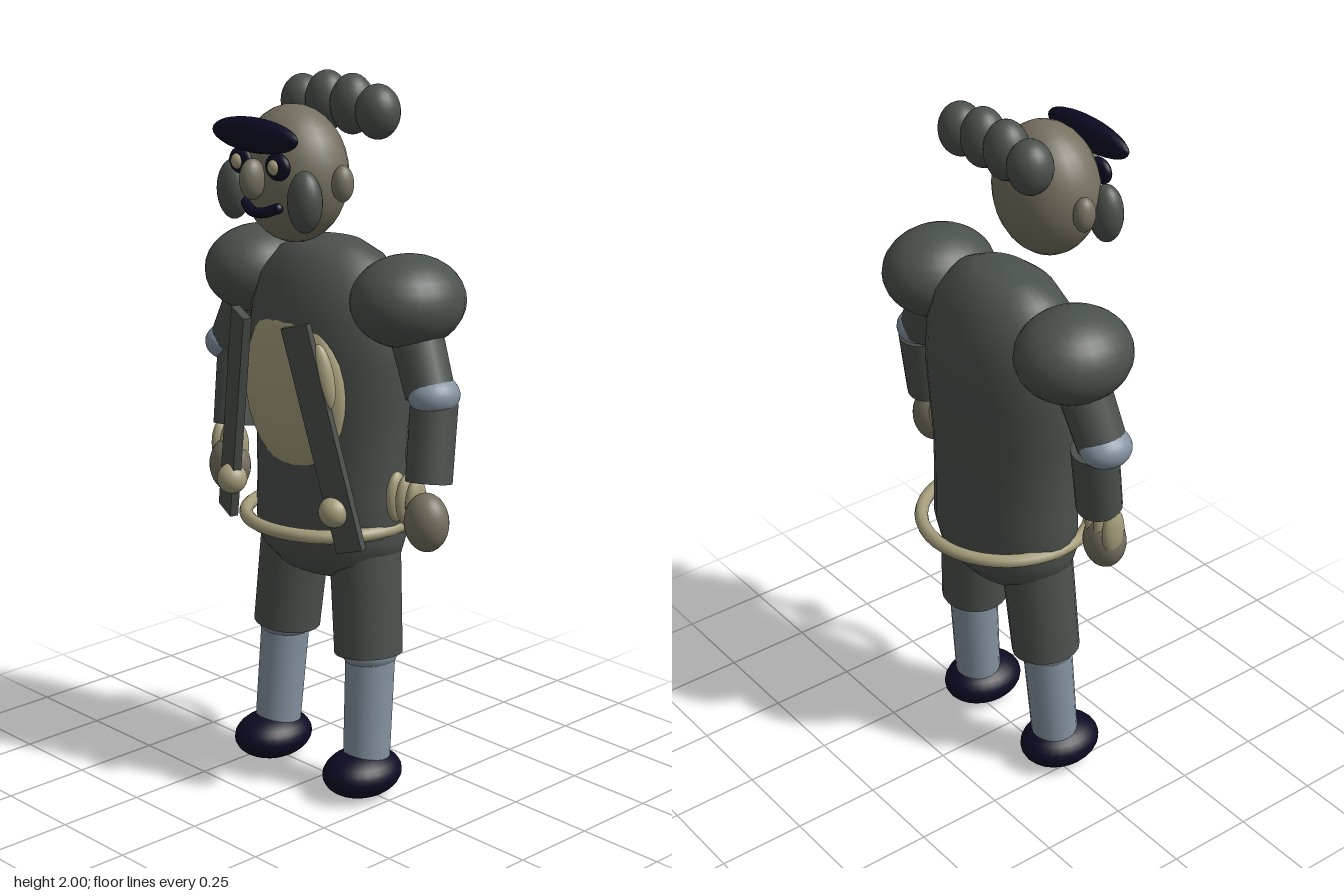
import * as THREE from 'three';

const mat = (name, color) => {
  const m = new THREE.MeshStandardMaterial({ color });
  m.name = name;
  return m;
};

export function createModel() {
  const suit = mat('suit grey', 0x4b514c);
  const skin = mat('skin', 0x767060);
  const cream = mat('cream', 0xa59d7b);
  const stocking = mat('stocking blue', 0x8492a0);
  const navy = mat('dark navy', 0x0c0b24);

  const root = new THREE.Group();
  root.name = 'figure';
  // The body axis sits slightly to one side of the overall centre
  const body = new THREE.Group();
  body.name = 'body';
  body.position.x = -0.022;
  root.add(body);

  const add = (name, geo, material, pos = [0, 0, 0], rot = [0, 0, 0]) => {
    const mesh = new THREE.Mesh(geo, material);
    mesh.name = name;
    mesh.position.set(...pos);
    mesh.rotation.set(...rot);
    body.add(mesh);
    return mesh;
  };
  const ball = (name, material, pos, radii, rot) => {
    const mesh = add(name, new THREE.SphereGeometry(1, 24, 16), material, pos, rot);
    mesh.scale.set(...radii);
    return mesh;
  };
  // Cylinder running from point a (radius ra) to point b (radius rb)
  const limb = (name, material, a, b, ra, rb) => {
    const from = new THREE.Vector3(...a), to = new THREE.Vector3(...b);
    const dir = from.clone().sub(to);
    const mesh = add(name, new THREE.CylinderGeometry(ra, rb, dir.length(), 20), material);
    mesh.position.copy(from).add(to).multiplyScalar(0.5);
    mesh.quaternion.setFromUnitVectors(new THREE.Vector3(0, 1, 0), dir.normalize());
    return mesh;
  };

  // Torso: smooth lathe, flattened front to back
  const outline = [
    [0, 0.61], [0.09, 0.613], [0.175, 0.638], [0.23, 0.685], [0.25, 0.75], [0.247, 0.87],
    [0.247, 1.0], [0.258, 1.12], [0.27, 1.25], [0.262, 1.36], [0.23, 1.45], [0.17, 1.52],
    [0.1, 1.555], [0, 1.56],
  ].map(([x, y]) => new THREE.Vector2(x, y));
  const torso = add('torso', new THREE.LatheGeometry(outline, 32), suit, [0, 0, -0.035]);
  torso.scale.z = 0.665;

  // Shirt front and belt
  ball('shirtFront', cream, [0, 1.165, 0.1], [0.19, 0.235, 0.065]);
  add('belt', new THREE.TorusGeometry(0.236, 0.019, 10, 40), cream,
    [0, 0.785, -0.033], [Math.PI / 2, 0, 0]);

  for (const s of [-1, 1]) {
    const side = s > 0 ? 'left' : 'right';

    // Coat front
    add(side + 'Lapel', new THREE.BoxGeometry(0.08, 0.625, 0.024), suit,
      [s * 0.178, 1.067, 0.162], [0.04, s * 0.3, s * 0.24]);
    ball(side + 'LapelTrim', cream, [s * 0.172, 1.235, 0.157], [0.03, 0.09, 0.024], [0, s * 0.3, s * 0.2]);
    ball(side + 'CoatButton', cream, [s * 0.206, 0.87, 0.15], [0.043, 0.043, 0.042]);

    // Arm, with both forearms leaning the same way
    ball(side + 'Shoulder', suit, [s * 0.29, 1.43, -0.037], [0.148, 0.124, 0.162]);
    limb(side + 'UpperArm', suit, [s * 0.315, 1.37, -0.035], [s * 0.392, 1.2, -0.02], 0.072, 0.067);
    ball(side + 'Elbow', stocking, [s * 0.405, 1.2, -0.02], [0.067, 0.055, 0.072]);
    const elbowX = s > 0 ? 0.402 : -0.367, wristX = s > 0 ? 0.424 : -0.344;
    limb(side + 'Forearm', suit, [elbowX, 1.18, -0.025], [wristX, 0.973, 0.015], 0.064, 0.063);
    const handX = s > 0 ? 0.437 : -0.346;
    const handY = s > 0 ? 0.87 : 0.855;
    ball(side + 'Hand', skin, [handX, handY, 0.035], [0.064, 0.08, 0.056]);

    // Cuff ruffles
    const cuffX = s > 0 ? 0.352 : -0.356;
    for (const i of [-1, 0, 1])
      ball(side + 'CuffRuffle', cream, [cuffX + i * 0.036, 0.91, 0.025], [0.021, 0.07, 0.035]);

    // Leg
    limb(side + 'Breeches', suit, [s * 0.138, 0.72, -0.033], [s * 0.167, 0.415, -0.02], 0.1, 0.096);
    ball(side + 'Knee', stocking, [s * 0.171, 0.42, -0.02], [0.08, 0.055, 0.08]);
    limb(side + 'Stocking', stocking, [s * 0.174, 0.41, -0.02], [s * 0.184, 0.1, 0.003], 0.07, 0.066);
    ball(side + 'Shoe', navy, [s * 0.185, 0.07, 0.02], [0.1, 0.067, 0.122]);

    // Ear, whiskers and eye
    ball(side + 'Ear', skin, [s * 0.172, 1.74, 0.088], [0.028, 0.048, 0.031]);
    ball(side + 'Whiskers', suit, [s * 0.138, 1.7, 0.19], [0.05, 0.081, 0.043]);
    ball(side + 'EyeSocket', navy, [s * 0.071, 1.787, 0.222], [0.043, 0.036, 0.02]);
    ball(side + 'Eye', cream, [s * 0.071, 1.787, 0.235], [0.021, 0.021, 0.016]);
  }

  // Head and face
  ball('head', skin, [0, 1.748, 0.1], [0.16, 0.183, 0.132]);
  ball('nose', skin, [0, 1.75, 0.247], [0.031, 0.054, 0.038]);
  ball('hatBrim', navy, [0, 1.863, 0.238], [0.162, 0.046, 0.033]);
  const lip = new THREE.CatmullRomCurve3([
    [-0.062, 1.676, 0.215], [-0.03, 1.664, 0.23], [0, 1.66, 0.235], [0.03, 1.664, 0.23], [0.062, 1.676, 0.215],
  ].map((p) => new THREE.Vector3(...p)));
  add('mouth', new THREE.TubeGeometry(lip, 20, 0.014, 8), navy);
  for (const s of [-1, 1])
    ball('mouthCorner', navy, lip.getPoint(s > 0 ? 1 : 0).toArray(), [0.014, 0.014, 0.014]);

  // Row of hair curls
  for (const i of [-1.5, -0.5, 0.5, 1.5]) {
    const outer = Math.abs(i) > 1;
    ball('hairCurl', suit, [i * 0.096, outer ? 1.908 : 1.919, -0.066], [0.062, outer ? 0.073 : 0.081, 0.059]);
  }

  return root;
}
